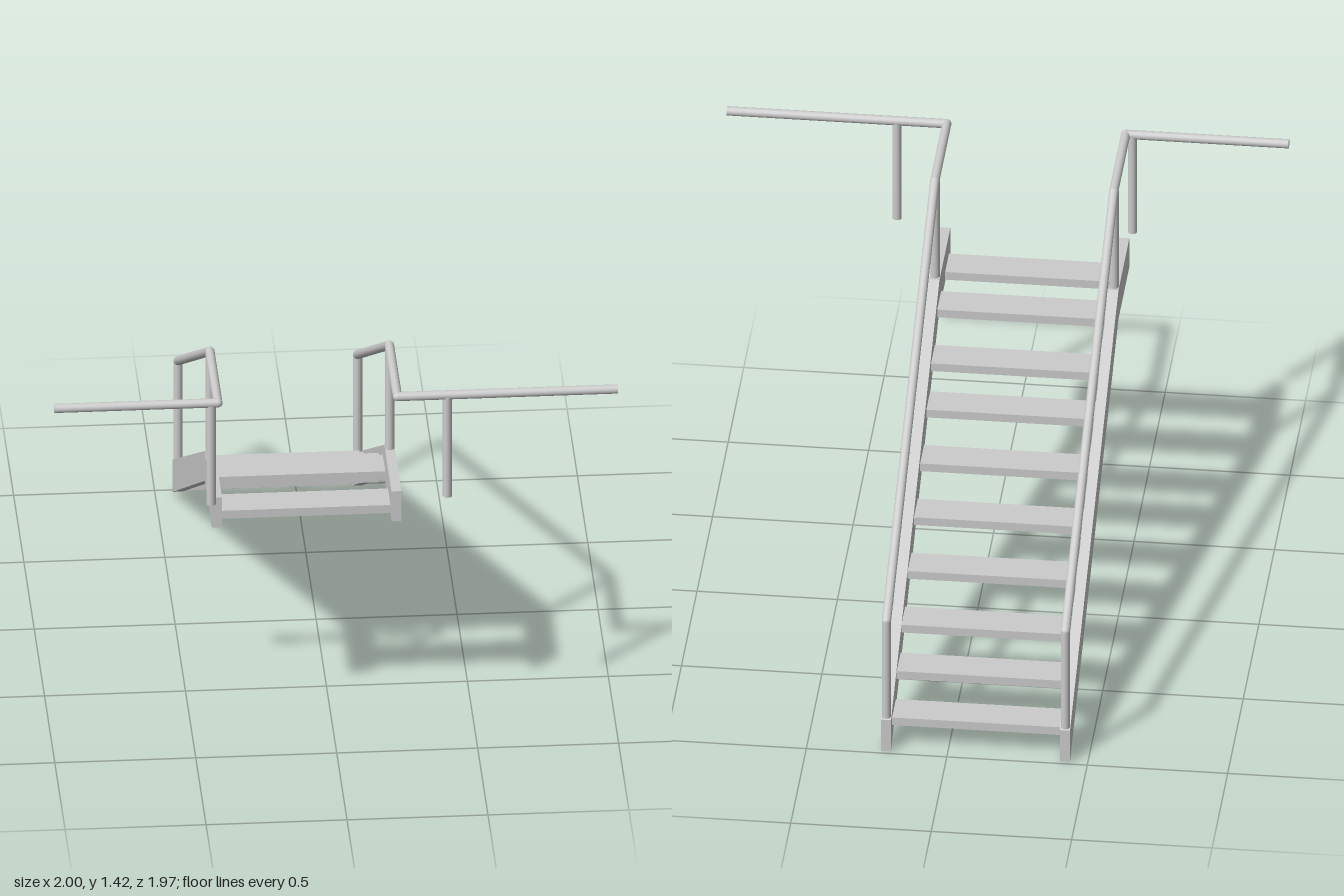
import * as THREE from 'three';

export function createModel() {
  const model = new THREE.Group();
  model.name = 'staircase';
  const mat = new THREE.MeshStandardMaterial({ color: 0xcccccc });
  const R = 0.0165;

  const add = (geometry, name, parent = model) => {
    const mesh = new THREE.Mesh(geometry, mat);
    mesh.name = name;
    parent.add(mesh);
    return mesh;
  };

  // round bar between two points
  const bar = (a, b, name, parent) => {
    const dir = b.clone().sub(a);
    const mesh = add(new THREE.CylinderGeometry(R, R, dir.length(), 20), name, parent);
    mesh.position.copy(a).add(b).multiplyScalar(0.5);
    mesh.quaternion.setFromUnitVectors(new THREE.Vector3(0, 1, 0), dir.normalize());
  };

  // stringer outline, drawn as (z, y)
  const outline = new THREE.Shape([
    [0.92, 1], [0.57, 1], [-0.985, 0.13], [-0.985, 0], [0.57, 0.88], [0.92, 0.88],
  ].map(([z, y]) => new THREE.Vector2(-z, y)));
  const width = 0.036;

  const sides = [
    { label: 'right', x: -0.419, endX: -1, postX: -0.443 },
    { label: 'left', x: 0.218, endX: 1, postX: 0.395 },
  ];
  for (const { label, x, endX, postX } of sides) {
    const stringer = add(
      new THREE.ExtrudeGeometry(outline, { depth: width, bevelEnabled: false }), label + 'Stringer');
    stringer.rotation.y = Math.PI / 2;
    stringer.position.x = x - width / 2;

    // handrail: landing wing, return, slope and bottom post
    const rail = new THREE.Group();
    rail.name = label + 'Handrail';
    model.add(rail);
    const V = (px, py, pz) => new THREE.Vector3(px, py, pz);
    const path = [
      V(endX, 1.405, 0.965), V(x, 1.405, 0.965), V(x, 1.405, 0.58),
      V(x, 0.535, -0.969), V(x, 0.135, -0.969),
    ];
    for (let i = 1; i < path.length; i++) {
      bar(path[i - 1], path[i], 'railSection', rail);
      if (i < path.length - 1) {
        add(new THREE.SphereGeometry(R, 20, 12), 'railElbow', rail).position.copy(path[i]);
      }
    }
    bar(V(x, 1, 0.595), V(x, 1.4, 0.595), 'topPost', rail);
    bar(V(postX, 1, 0.965), V(postX, 1.4, 0.965), 'landingPost', rail);
  }

  // treads: centre z of each step, the last one sharing the landing level
  const treadZ = [-0.89, -0.74, -0.59, -0.39, -0.19, 0.01, 0.21, 0.36, 0.56, 0.812];
  treadZ.forEach((z, i) => {
    const tread = add(new THREE.BoxGeometry(0.602, 0.032, 0.124), 'tread');
    tread.position.set(-0.1, 0.105 + 0.1 * Math.min(i, 8), z);
  });

  return model;
}
